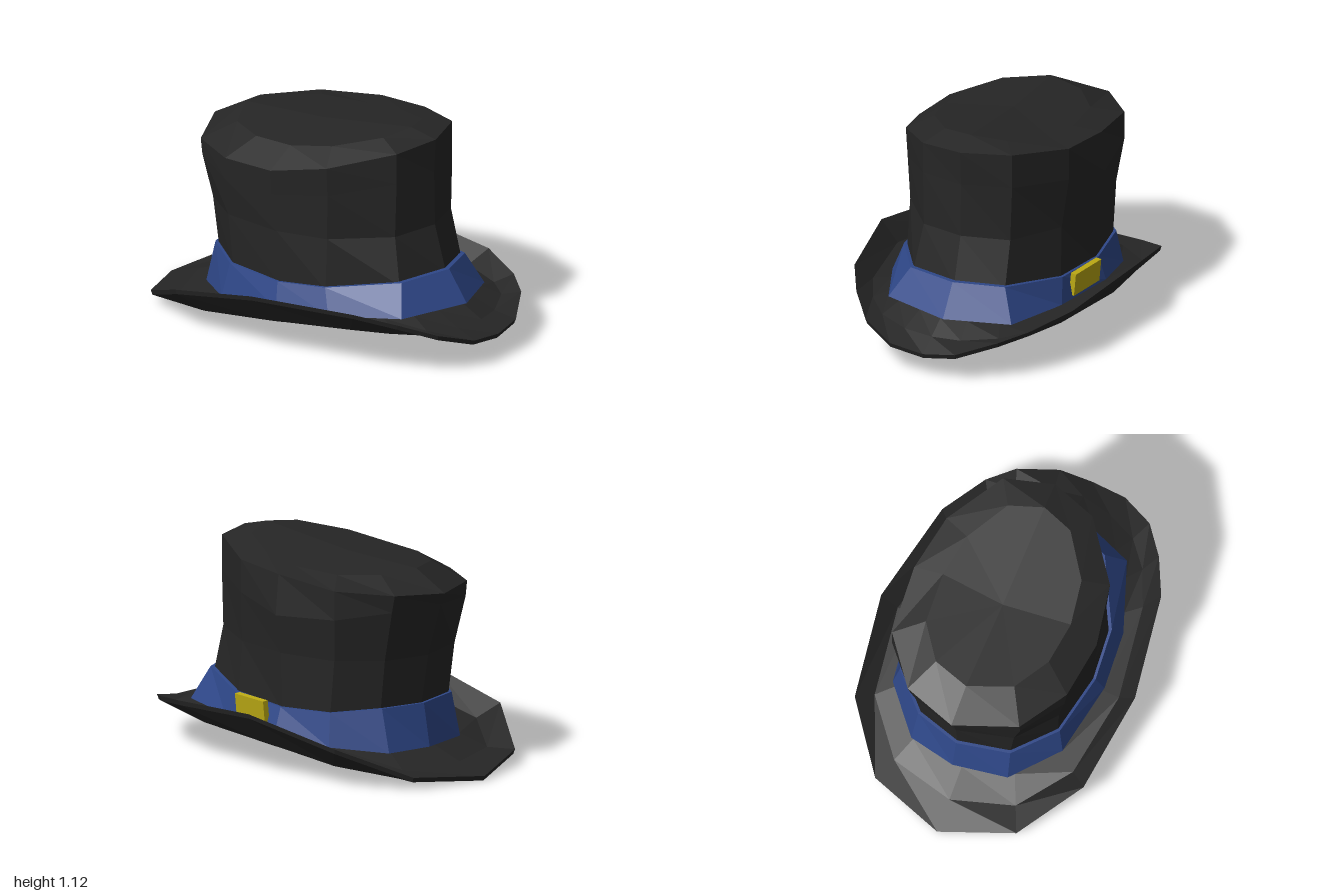
import * as THREE from 'three';

const felt = new THREE.MeshStandardMaterial({ color: 0x262626, flatShading: true });
felt.name = 'black felt';
const ribbon = new THREE.MeshStandardMaterial({ color: 0x2e4788, flatShading: true });
ribbon.name = 'blue ribbon';
const brass = new THREE.MeshStandardMaterial({ color: 0xbcaa14, flatShading: true });
brass.name = 'yellow brass';

// Every ring runs from the front, round the +x side, to the back and home again: [x, y, z].
const bandBottom = [
  [0.04, 0.24, 0.78], [0.36, 0.22, 0.65], [0.47, 0.21, 0.3], [0.52, 0.2, -0.1], [0.46, 0.16, -0.42], [0.25, 0.13, -0.64],
  [0, 0.13, -0.68], [-0.28, 0.13, -0.62], [-0.47, 0.16, -0.38], [-0.52, 0.2, 0], [-0.48, 0.22, 0.3], [-0.33, 0.24, 0.65]];
const bandTop = [
  [0.04, 0.4, 0.67], [0.29, 0.385, 0.58], [0.45, 0.34, 0.25], [0.48, 0.32, -0.1], [0.43, 0.33, -0.4], [0.24, 0.35, -0.58],
  [0, 0.35, -0.64], [-0.27, 0.35, -0.57], [-0.44, 0.34, -0.35], [-0.48, 0.33, -0.02], [-0.44, 0.35, 0.25], [-0.24, 0.39, 0.58]];
const crownWaist = [
  [0.04, 0.62, 0.58], [0.28, 0.61, 0.5], [0.43, 0.6, 0.22], [0.48, 0.6, -0.1], [0.42, 0.6, -0.42], [0.24, 0.6, -0.6],
  [-0.01, 0.6, -0.66], [-0.29, 0.6, -0.57], [-0.44, 0.6, -0.36], [-0.475, 0.6, -0.03], [-0.41, 0.6, 0.24], [-0.2, 0.61, 0.51]];
const crownShoulder = [
  [0.04, 0.9, 0.575], [0.29, 0.9, 0.5], [0.46, 0.86, 0.2], [0.515, 0.8, -0.1], [0.45, 0.82, -0.45], [0.25, 0.86, -0.66],
  [-0.03, 0.87, -0.73], [-0.34, 0.84, -0.6], [-0.47, 0.8, -0.36], [-0.49, 0.8, -0.05], [-0.42, 0.84, 0.25], [-0.2, 0.9, 0.52]];
const crownRim = [
  [0.04, 1.08, 0.585], [0.29, 1.08, 0.5], [0.46, 1.03, 0.2], [0.495, 1.01, -0.1], [0.45, 0.97, -0.45], [0.25, 0.95, -0.68],
  [-0.03, 0.93, -0.755], [-0.34, 0.92, -0.61], [-0.48, 0.92, -0.35], [-0.5, 0.93, -0.05], [-0.43, 0.99, 0.25], [-0.2, 1.06, 0.52]];
const brimEdge = [
  [0.03, 0.13, 0.99], [0.2, 0.15, 0.97], [0.39, 0.21, 0.86], [0.5, 0.24, 0.73], [0.62, 0.28, 0.48], [0.69, 0.315, -0.08],
  [0.59, 0.2, -0.59], [0.33, 0.06, -0.89], [-0.07, 0.02, -1], [-0.44, 0.07, -0.85], [-0.66, 0.22, -0.53], [-0.7, 0.32, -0.02],
  [-0.58, 0.315, 0.53], [-0.47, 0.27, 0.73], [-0.34, 0.21, 0.89], [-0.16, 0.15, 0.98]];

const mapRing = (ring, f) => ring.map(([x, y, z]) => f(x, y, z));
const shrink = (ring, s, dy = 0) => mapRing(ring, (x, y, z) => [x * s, y + dy, z * s]);

// Points of a ring lying in the same directions as the brim edge
function alignToBrim(ring) {
  return brimEdge.map(([dx, , dz]) => {
    for (let i = 0; i < ring.length; i++) {
      const a = ring[i], b = ring[(i + 1) % ring.length];
      const ca = a[0] * dz - a[2] * dx, cb = b[0] * dz - b[2] * dx;
      const t = ca / (ca - cb);
      if (ca <= 0 && cb > 0) {
        const p = a.map((v, k) => v + (b[k] - v) * t);
        if (p[0] * dx + p[2] * dz > 0) return p;
      }
    }
    return ring[0];
  });
}

// Skin through rings; a ring of one point closes the end as a fan
function loft(name, rings, material) {
  const pos = [];
  for (let r = 0; r < rings.length - 1; r++) {
    const a = rings[r], b = rings[r + 1], n = Math.max(a.length, b.length);
    for (let i = 0; i < n; i++) {
      const j = (i + 1) % n;
      if (b.length > 1) pos.push(...a[i % a.length], ...b[i], ...b[j]);
      if (a.length > 1) pos.push(...a[i], ...b[j % b.length], ...a[j]);
    }
  }
  const g = new THREE.BufferGeometry();
  g.setAttribute('position', new THREE.Float32BufferAttribute(pos, 3));
  g.computeVertexNormals();
  const mesh = new THREE.Mesh(g, material);
  mesh.name = name;
  return mesh;
}

export function createModel() {
  const hat = new THREE.Group();
  hat.name = 'topHat';

  // Crown with an arched, gently sagging roof
  const roof = mapRing(crownRim, (x, y, z) => [x * 0.7, 1.055 + (z > 0 ? 0.11 * z : 0.03 * z) - 0.06 * Math.abs(x), z * 0.75]);
  hat.add(loft('crown', [[[0, 1.05, -0.1]], roof, crownRim, crownShoulder, crownWaist, shrink(bandTop, 0.97, -0.02)], felt));

  // Ribbon band with a thin top lip
  hat.add(loft('hatBand', [shrink(bandTop, 0.95), bandTop, bandBottom], ribbon));

  // Curled brim: top side, edge and underside
  const inner = alignToBrim(bandBottom);
  const opening = mapRing(inner, (x, y, z) => [x * 0.92, 0.115 + 0.105 * z, z * 0.92]);
  const edgeBelow = shrink(brimEdge, 0.99, -0.025);
  const between = (a, b) => a.map((p, i) => {
    const m = p.map((v, k) => (v + b[i][k]) / 2);
    m[1] -= 0.08 * Math.abs(m[0]);
    return m;
  });
  hat.add(loft('brim', [inner, between(inner, brimEdge), brimEdge, edgeBelow, between(edgeBelow, opening), opening], felt));

  // Hollow inside
  hat.add(loft('lining', [opening, alignToBrim(shrink(bandTop, 0.92)), alignToBrim(shrink(crownWaist, 0.93)),
    alignToBrim(shrink(crownRim, 0.92, -0.05)), [[0, 0.99, -0.1]]], felt));

  // Buckle on the left of the band
  const buckle = new THREE.Mesh(new THREE.BoxGeometry(0.03, 0.12, 0.23), brass);
  buckle.name = 'buckle';
  buckle.position.set(0.495, 0.285, 0.085);
  buckle.rotation.set(0, -0.13, -0.1);
  hat.add(buckle);
  return hat;
}
